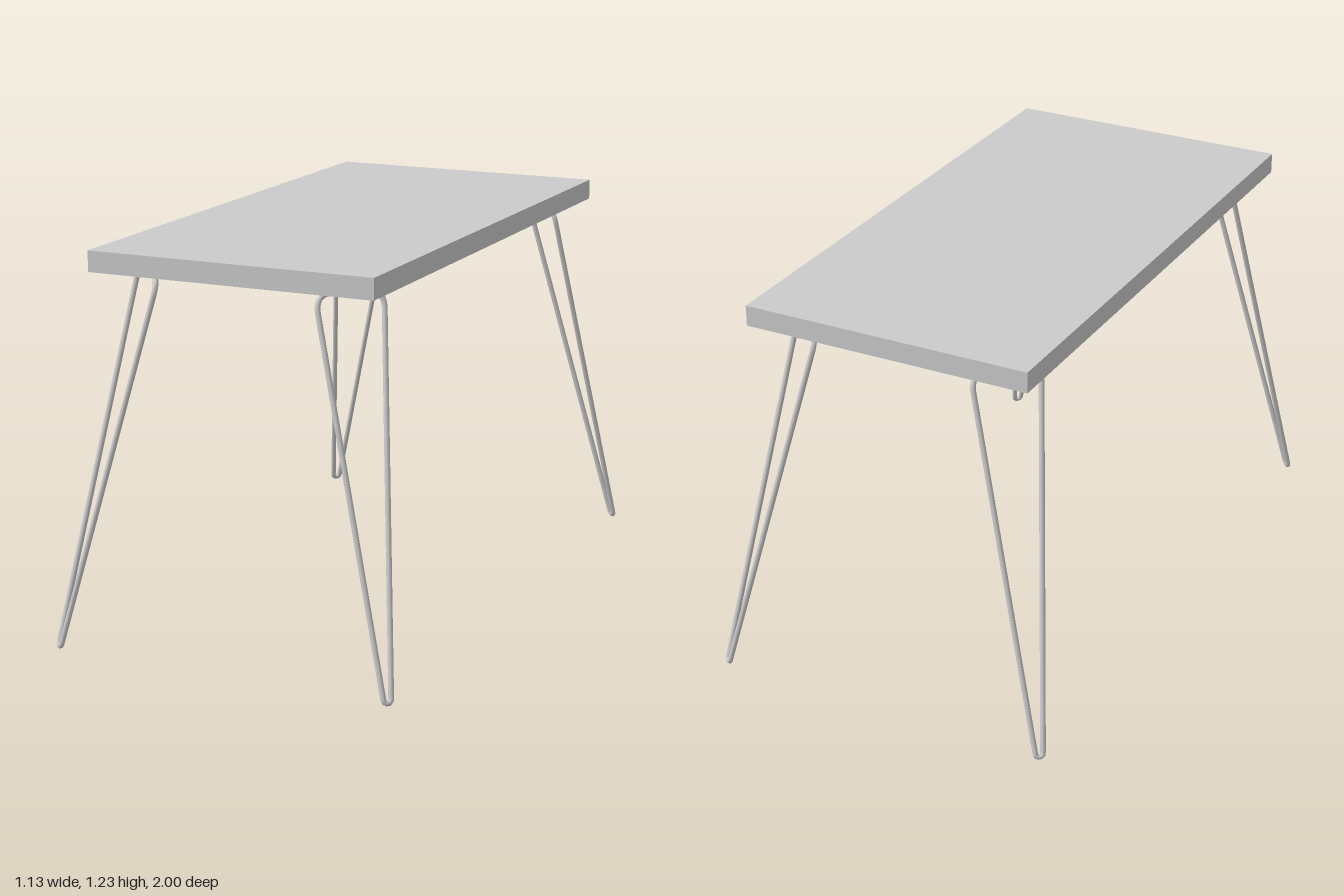
import * as THREE from 'three';

const grey = new THREE.MeshStandardMaterial({ color: 0xcccccc });
const ROD = 0.0085;

// Closed loop through the corners, each one rounded off by its own distance
function roundedLoop(corners, cuts) {
  const n = corners.length;
  const toward = (i, j) => corners[i].clone().add(
    corners[j].clone().sub(corners[i]).setLength(cuts[i]));
  const path = new THREE.CurvePath();
  for (let i = 0; i < n; i++) {
    const prev = (i + n - 1) % n, next = (i + 1) % n;
    path.add(new THREE.QuadraticBezierCurve3(toward(i, prev), corners[i], toward(i, next)));
    path.add(new THREE.LineCurve3(toward(i, next), toward(next, i)));
  }
  return path;
}

// Bent-rod hairpin leg, splayed outward to the corner given by the signs
function hairpinLeg(sx, sz) {
  const p = (x, y, z) => new THREE.Vector3(sx * x, y, sz * z);
  const path = roundedLoop([
    p(0.255, 1.155, 0.845),
    p(0.405, 1.155, 0.695),
    p(0.557, ROD, 0.976),
    p(0.541, ROD, 0.991),
  ], [0.058, 0.058, 0.0105, 0.0105]);
  path.arcLengthDivisions = 800;
  return new THREE.Mesh(new THREE.TubeGeometry(path, 360, ROD, 10, true), grey);
}

export function createModel() {
  const table = new THREE.Group();
  table.name = 'table';

  // Plain slab top
  const top = new THREE.Mesh(new THREE.BoxGeometry(0.926, 0.065, 1.79), grey);
  top.name = 'tableTop';
  top.position.y = 1.1965;
  table.add(top);

  // One leg near each corner
  for (const sz of [1, -1]) {
    for (const sx of [1, -1]) {
      const leg = hairpinLeg(sx, sz);
      leg.name = (sz > 0 ? 'front' : 'back') + (sx > 0 ? 'Left' : 'Right') + 'Leg';
      table.add(leg);
    }
  }
  return table;
}
